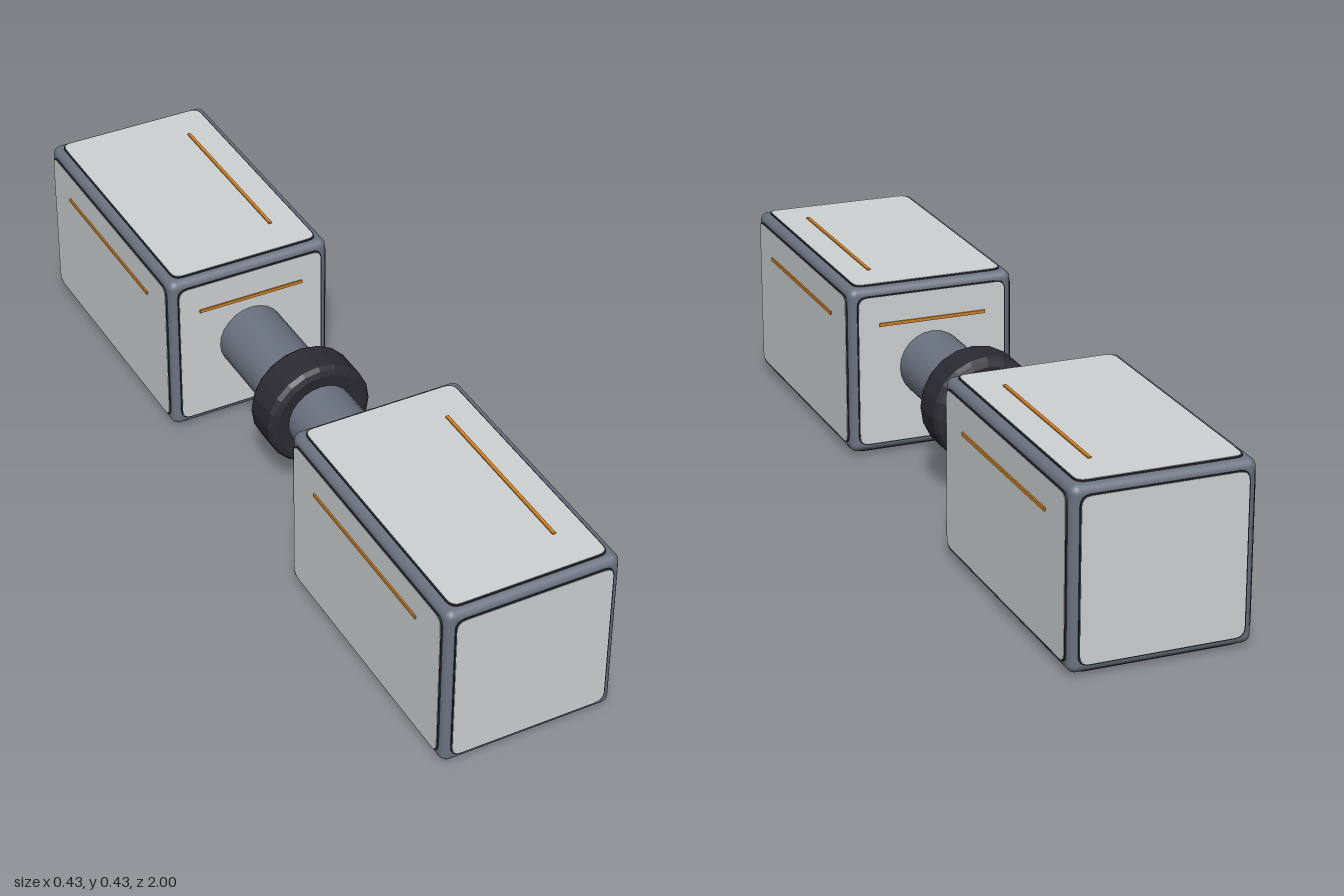
import * as THREE from 'three';
import { RoundedBoxGeometry } from 'three/addons/geometries/RoundedBoxGeometry.js';

const mat = (name, color) => {
  const m = new THREE.MeshStandardMaterial({ color });
  m.name = name;
  return m;
};

const HALF = 0.2075;     // half width and height of a module frame
const HALF_LEN = 0.3445; // half length of a module frame
const OFFSET = 0.6515;   // module centre along z
const CENTRE_Y = 0.215;  // height of the long axis

// thin plate with rounded corners, its back on z = 0
function plate(w, h, r, depth) {
  const x = w / 2, y = h / 2, s = new THREE.Shape();
  s.moveTo(-x + r, -y);
  s.lineTo(x - r, -y);
  s.quadraticCurveTo(x, -y, x, -y + r);
  s.lineTo(x, y - r);
  s.quadraticCurveTo(x, y, x - r, y);
  s.lineTo(-x + r, y);
  s.quadraticCurveTo(-x, y, -x, y - r);
  s.lineTo(-x, -y + r);
  s.quadraticCurveTo(-x, -y, -x + r, -y);
  return new THREE.ExtrudeGeometry(s, { depth, bevelEnabled: false, curveSegments: 4 });
}

export function createModel() {
  const frameGrey = mat('frame grey', 0x6b7280);
  const panelGrey = mat('panel light grey', 0xcfd2d3);
  const dark = mat('dark charcoal', 0x2b2b31);
  const orange = mat('orange', 0xd08024);

  const model = new THREE.Group();
  model.name = 'twinModuleConnector';

  const add = (parent, name, geometry, material, x = 0, y = 0, z = 0) => {
    const mesh = new THREE.Mesh(geometry, material);
    mesh.name = name;
    mesh.position.set(x, y, z);
    parent.add(mesh);
    return mesh;
  };

  // panel lying in its own xy plane: dark seam, light skin, optional light strip
  function panel(name, w, h, strip) {
    const g = new THREE.Group();
    g.name = name;
    add(g, 'panelSeam', plate(w, h, 0.024, 0.005), dark, 0, 0, -0.002);
    add(g, 'panelSkin', plate(w - 0.006, h - 0.006, 0.022, 0.003), panelGrey, 0, 0, 0.001);
    if (strip) add(g, 'accentStrip', new THREE.BoxGeometry(strip, 0.008, 0.005), orange, 0, 0.115, 0.005);
    return g;
  }

  // one box module; inner is the z direction of the shaft
  function boxModule(name, inner) {
    const g = new THREE.Group();
    g.name = name;
    add(g, 'frame', new RoundedBoxGeometry(HALF * 2, HALF * 2, HALF_LEN * 2, 4, 0.02), frameGrey);

    for (const s of [1, -1]) {
      const side = panel(s > 0 ? 'leftPanel' : 'rightPanel', 0.653, 0.376, 0.45);
      side.position.x = s * HALF;
      side.rotation.y = s * Math.PI / 2;
      g.add(side);

      // top and bottom: strip kept on the +x half
      const cover = panel(s > 0 ? 'topPanel' : 'bottomPanel', 0.653, 0.376, 0.45);
      cover.position.y = s * HALF;
      const along = new THREE.Vector3(0, 0, s);
      const across = new THREE.Vector3(1, 0, 0);
      const out = new THREE.Vector3(0, s, 0);
      cover.quaternion.setFromRotationMatrix(new THREE.Matrix4().makeBasis(along, across, out));
      g.add(cover);

      const end = panel(s === inner ? 'innerEndPanel' : 'outerEndPanel', 0.378, 0.376, s === inner ? 0.27 : 0);
      end.position.z = s * HALF_LEN;
      end.rotation.y = s > 0 ? 0 : Math.PI;
      g.add(end);
    }
    return g;
  }

  for (const s of [1, -1]) {
    const m = boxModule(s > 0 ? 'frontModule' : 'backModule', -s);
    m.position.set(0, CENTRE_Y, s * OFFSET);
    model.add(m);
  }

  // connecting shaft
  const shaft = add(model, 'shaft', new THREE.CylinderGeometry(0.083, 0.083, 0.63, 24), frameGrey, 0, CENTRE_Y, 0);
  shaft.rotation.x = Math.PI / 2;

  // bevelled collar around the middle of the shaft
  const profile = [
    [0.08, -0.052], [0.112, -0.055], [0.125, -0.05], [0.132, -0.04],
    [0.132, 0.04], [0.125, 0.05], [0.112, 0.055], [0.08, 0.052],
  ].map(([r, y]) => new THREE.Vector2(r, y));
  const collarGeometry = new THREE.LatheGeometry(profile, 20).toNonIndexed();
  collarGeometry.computeVertexNormals();
  const collar = add(model, 'collar', collarGeometry, dark, 0, CENTRE_Y, 0);
  collar.rotation.x = Math.PI / 2;

  return model;
}
